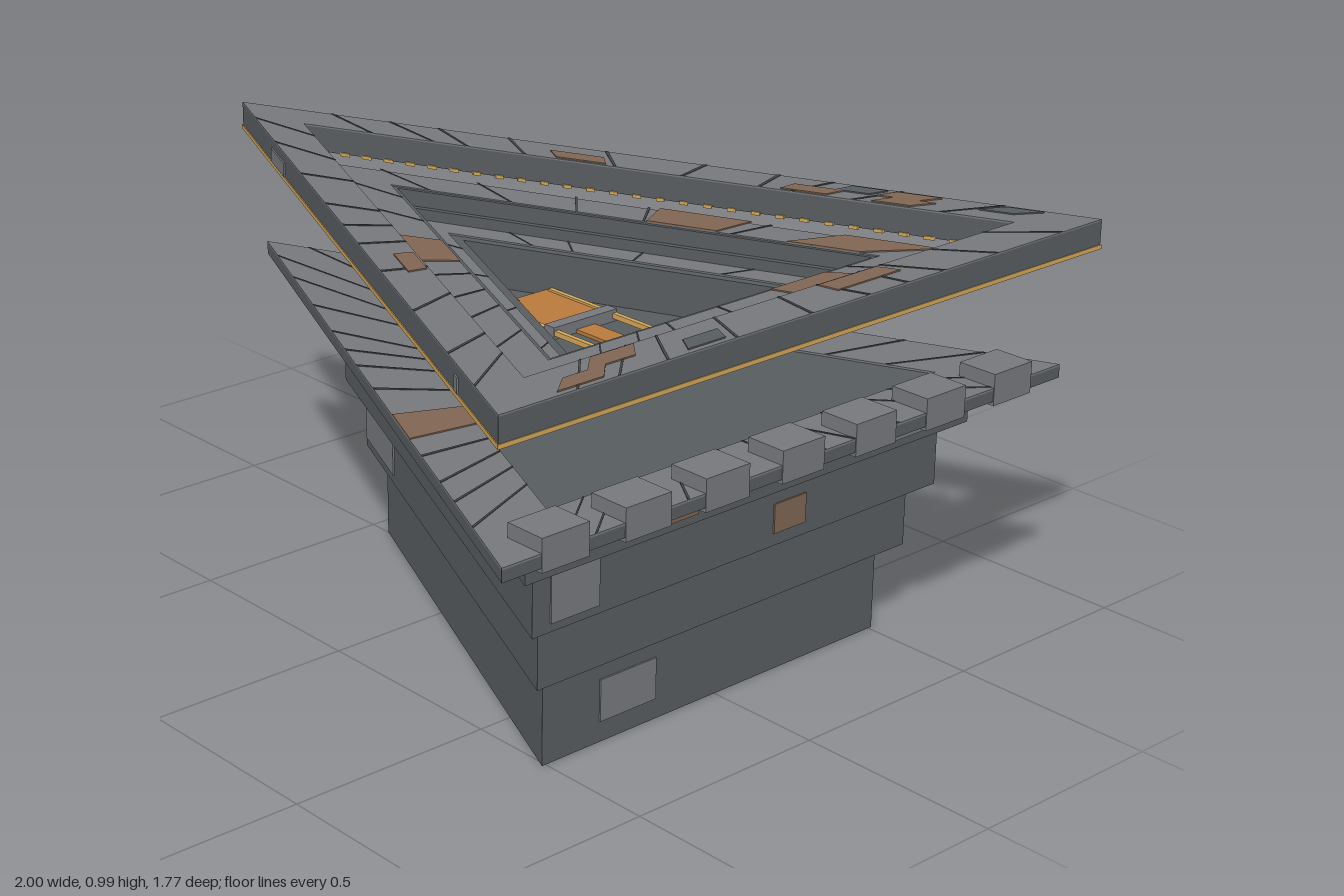
import * as THREE from 'three';

const mat = (name, color) => {
  const m = new THREE.MeshStandardMaterial({ color });
  m.name = name;
  return m;
};

export function createModel() {
  const root = new THREE.Group();
  const wall = mat('dark stone', 0x575c5f);
  const pale = mat('pale stone', 0x76787c);
  const brown = mat('rusty stone', 0x7f6552);
  const joint = mat('joint', 0x45484b);
  const orange = mat('orange', 0xb87a3c);
  const gold = mat('gold', 0xd2a557);

  // Isosceles triangle in plan: apex at x = a, base at x = b, half width h
  const tri = (a, b, h) => [[a, 0], [b, h], [b, -h]];
  const trace = (target, pts) => {
    pts.forEach(([x, z], i) => (i ? target.lineTo(x, -z) : target.moveTo(x, -z)));
    target.closePath();
    return target;
  };

  // Upright prism over plan points, with an optional hole
  function prism(name, pts, y0, y1, material, hole) {
    const shape = trace(new THREE.Shape(), pts);
    if (hole) shape.holes.push(trace(new THREE.Path(), hole));
    const g = new THREE.ExtrudeGeometry(shape, { depth: y1 - y0, bevelEnabled: false });
    g.rotateX(-Math.PI / 2);
    const m = new THREE.Mesh(g, material);
    m.name = name;
    m.position.y = y0;
    root.add(m);
  }
  function box(name, x0, x1, y0, y1, z0, z1, material) {
    const m = new THREE.Mesh(new THREE.BoxGeometry(x1 - x0, y1 - y0, z1 - z0), material);
    m.position.set((x0 + x1) / 2, (y0 + y1) / 2, (z0 + z1) / 2);
    m.name = name;
    root.add(m);
  }

  // Point on a triangle's side; sides: 0 front, 1 right, 2 back
  const along = (T, side, t) => {
    const p = T[side], q = T[(side + 1) % 3];
    return [p[0] + (q[0] - p[0]) * t, p[1] + (q[1] - p[1]) * t];
  };
  // Thin slab on the flat band between triangles O and I
  const paver = (name, O, I, side, t0, t1, y, material, skew = 0, thick = 0.003) =>
    prism(name, [along(O, side, t0), along(O, side, t1), along(I, side, t1 + skew), along(I, side, t0 + skew)],
      y, y + thick, material);
  // Thin plate on a tier's outer wall
  function wallPlate(T, side, t0, t1, y0, y1, material) {
    const p = along(T, side, t0), q = along(T, side, t1);
    const dx = q[0] - p[0], dz = q[1] - p[1];
    const k = 0.004 / Math.hypot(dx, dz);
    const out = ([x, z]) => [x - dz * k, z + dx * k];
    prism('wallPatch', [p, q, out(q), out(p)], y0, y1, material);
  }
  // Joints across a paved band
  function joints(O, I, y, count) {
    for (let side = 0; side < 3; side++)
      for (let i = 1; i < count; i++) {
        const t = (i + 0.3 * Math.sin(i * 5.1 + side * 2)) / count;
        paver('joint', O, I, side, t, t + 0.004, y, joint, 0.012 * Math.sin(i * 3.7 + side), 0.0015);
      }
  }

  // Lower stepped base, hollow from below
  const tiers = [
    [tri(-0.44, 0.71, 0.51), 0, 0.21, tri(-0.29, 0.65, 0.415)],
    [tri(-0.52, 0.75, 0.56), 0.21, 0.36, tri(-0.34, 0.68, 0.45)],
    [tri(-0.6, 0.79, 0.61), 0.36, 0.51, tri(-0.42, 0.72, 0.5)],
    [tri(-0.67, 0.83, 0.665), 0.51, 0.61, tri(-0.49, 0.76, 0.555)],
  ];
  tiers.forEach(([T, y0, y1, hole]) => prism('baseTier', T, y0, y1, wall, hole));

  // Terrace with paved border and battlement blocks
  const deck = tri(-0.91, 0.95, 0.83), deckIn = tri(-0.52, 0.8, 0.58);
  prism('terrace', deck, 0.61, 0.637, wall);
  prism('terracePaving', deck, 0.637, 0.642, pale, deckIn);
  joints(deck, deckIn, 0.642, 13);
  for (let i = -3; i <= 3; i++)
    box('battlement', 0.85, 0.952, 0.6, 0.675, i * 0.222 - 0.0625, i * 0.222 + 0.0625, pale);
  paver('rustyPaver', deck, deckIn, 0, 0.6, 0.67, 0.642, brown);

  // Floating funnel of stepped frames
  const f1 = tri(-0.65, 0.82, 0.65), f2 = tri(-0.41, 0.7, 0.49), f2b = tri(-0.385, 0.69, 0.475);
  const f3 = tri(-0.17, 0.58, 0.33), f4 = tri(-0.145, 0.57, 0.315);
  const ledge = tri(-0.35, 0.675, 0.452), ledgeIn = tri(-0.2, 0.595, 0.35);
  prism('upperFrame', f1, 0.87, 0.908, wall, f2b);
  prism('upperPaving', tri(-0.63, 0.812, 0.638), 0.908, 0.911, pale, f2);
  prism('middleFrameRim', f2, 0.84, 0.87, wall, ledge);
  prism('middleFrame', f2b, 0.805, 0.84, wall, f4);
  prism('middlePaving', ledge, 0.84, 0.844, pale, ledgeIn);
  prism('innerFrame', f3, 0.735, 0.806, wall, f4);
  prism('innerFloor', f4, 0.695, 0.737, wall);
  joints(f1, f2, 0.911, 8);
  joints(ledge, ledgeIn, 0.844, 5);
  [[0, 0.36, 0.48], [1, 0.65, 0.82], [2, 0.04, 0.18], [2, 0.32, 0.46]].forEach(([s, a, b]) =>
    paver('rustyPaver', f1, f2, s, a, b, 0.911, brown));
  paver('rustyPaver', ledge, ledgeIn, 1, 0.33, 0.48, 0.844, brown);

  // Furnishing on the inner floor
  box('orangePlatform', 0.05, 0.27, 0.737, 0.752, -0.1, 0.085, orange);
  box('orangeRunner', 0.27, 0.53, 0.737, 0.745, -0.028, 0.028, orange);
  box('crossBar', 0.245, 0.277, 0.737, 0.765, -0.095, 0.095, pale);
  box('crossBar', 0.475, 0.495, 0.737, 0.76, -0.09, 0.09, pale);
  box('platformPost', 0.045, 0.075, 0.737, 0.758, 0.02, 0.085, wall);
  for (const s of [-1, 1])
    box('goldRail', 0.06, 0.48, 0.745, 0.757, s * 0.087 - 0.006, s * 0.087 + 0.006, gold);

  // Floating crown frame
  const crown = tri(-0.997, 0.998, 0.88), crownIn = tri(-0.745, 0.885, 0.718);
  prism('crownFrame', crown, 0.922, 0.982, wall, crownIn);
  prism('crownPaving', crown, 0.982, 0.986, pale, crownIn);
  joints(crown, crownIn, 0.986, 11);
  // Gold line round the lower edge and studs along the inner edge
  prism('crownGoldTrim', tri(-1.003, 1, 0.883), 0.917, 0.927, gold, tri(-0.985, 0.993, 0.872));
  const studIn = tri(-0.733, 0.88, 0.712);
  for (const side of [0, 2])
    for (let i = 1; i < 30; i++)
      paver('goldStud', crownIn, studIn, side, i / 30, (i + 0.35) / 30, 0.918, gold, 0, 0.008);
  const outer = [tri(-0.97, 0.985, 0.86), tri(-0.87, 0.94, 0.795)];
  const inner = [tri(-0.87, 0.94, 0.795), tri(-0.76, 0.892, 0.728)];
  [
    [inner, 0, 0.57, 0.63, brown], [outer, 1, 0.08, 0.15, brown], [inner, 1, 0.12, 0.2, brown],
    [inner, 1, 0.56, 0.68, brown], [outer, 2, 0.16, 0.21, brown], [inner, 2, 0.14, 0.19, brown],
    [inner, 2, 0.25, 0.31, brown], [inner, 2, 0.55, 0.62, brown],
    [outer, 1, 0.28, 0.34, wall], [outer, 2, 0.05, 0.09, wall], [outer, 2, 0.22, 0.26, wall],
  ].forEach(([[O, I], s, a, b, m]) => paver('crownPaver', O, I, s, a, b, 0.986, m));

  // Weathered patches: [triangle, side, from, to, bottom, top, material]
  const [t1, t2, t3, t4] = tiers.map((t) => t[0]);
  [
    [t2, 0, 0.01, 0.19, 0.235, 0.34, pale],
    [crown, 0, 0.15, 0.21, 0.928, 0.962, pale],
    [crown, 0, 0.87, 0.88, 0.928, 0.962, pale],
    [t1, 1, 0.16, 0.32, 0.05, 0.15, pale],
    [t3, 1, 0.57, 0.65, 0.39, 0.46, brown],
    [t4, 1, 0.27, 0.36, 0.53, 0.59, brown],
    [t3, 1, 0.04, 0.15, 0.38, 0.49, pale],
    [t4, 1, 0.8, 0.96, 0.53, 0.6, pale],
    [t1, 2, 0.61, 0.79, 0.09, 0.19, brown],
    [t1, 2, 0.82, 0.98, 0.08, 0.19, brown],
    [t1, 2, 0.21, 0.33, 0.04, 0.11, pale],
    [t2, 2, 0.41, 0.58, 0.26, 0.34, pale],
    [t2, 2, 0.61, 0.79, 0.31, 0.345, brown],
    [t4, 2, 0.06, 0.21, 0.53, 0.6, pale],
  ].forEach(([T, side, a, b, y0, y1, m]) => wallPlate(T, side, a, b, y0, y1, m));

  return root;
}
